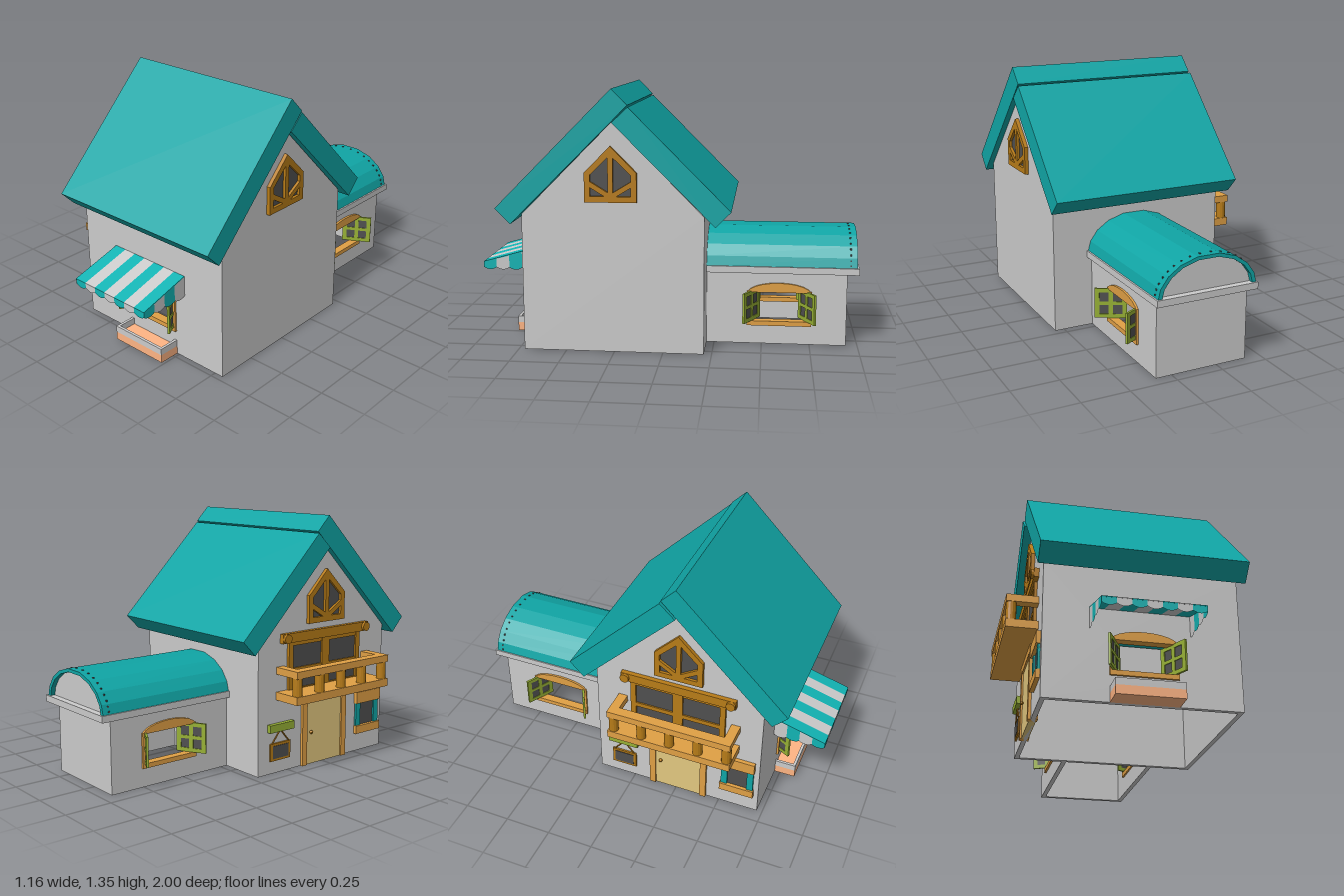
import * as THREE from 'three';

const paint = (color) => new THREE.MeshStandardMaterial({ color, side: THREE.DoubleSide, flatShading: true });
const grey = paint(0xcccccc), teal = paint(0x10a5a5), orange = paint(0xe0a045), brown = paint(0xb87c18);
const green = paint(0x97b035), dark = paint(0x505050), salmon = paint(0xffb584), cream = paint(0xe3c880);
const awningTeal = paint(0x12b4b4);

function add(parent, name, geometry, material, x = 0, y = 0, z = 0) {
  const mesh = new THREE.Mesh(geometry, material);
  mesh.name = name;
  mesh.position.set(x, y, z);
  parent.add(mesh);
  return mesh;
}

// Box given by its limits
function block(parent, name, material, x0, x1, y0, y1, z0, z1) {
  return add(parent, name, new THREE.BoxGeometry(x1 - x0, y1 - y0, z1 - z0), material,
    (x0 + x1) / 2, (y0 + y1) / 2, (z0 + z1) / 2);
}

function group(parent, name, x = 0, y = 0, z = 0, turn = 0) {
  const g = new THREE.Group();
  g.name = name;
  g.position.set(x, y, z);
  g.rotation.y = turn;
  parent.add(g);
  return g;
}

const polygon = (points) => new THREE.Shape(points.map((p) => new THREE.Vector2(...p)));
const slab = (shape, depth) => new THREE.ExtrudeGeometry(shape, { depth, bevelEnabled: false, curveSegments: 10 });
const rect = (x0, x1, y0, y1) => [[x0, y0], [x1, y0], [x1, y1], [x0, y1]];

// Wall panel whose outer face lies on local z = 0
function wall(parent, name, points, hole) {
  const shape = polygon(points);
  if (hole) shape.holes.push(polygon(hole));
  return add(parent, name, slab(shape, 0.025), grey, 0, 0, -0.025);
}

const LEFT = Math.PI / 2, RIGHT = -Math.PI / 2; // outward to +x, outward to -x

// Open window with arched head and two shutters turned on their middles
function shutteredWindow(parent, name, x, y, z, turn) {
  const g = group(parent, name, x, y, z, turn);
  block(g, 'sill', orange, -0.168, 0.168, -0.025, 0, -0.035, 0.012);
  const arch = new THREE.Shape();
  arch.moveTo(-0.168, 0.155);
  arch.lineTo(0.168, 0.155);
  arch.bezierCurveTo(0.13, 0.222, -0.13, 0.222, -0.168, 0.155);
  add(g, 'archedHead', slab(arch, 0.047), orange, 0, 0, -0.035);
  for (const s of [-1, 1]) {
    add(g, 'jamb', new THREE.BoxGeometry(0.014, 0.16, 0.045), orange, s * 0.161, 0.08, -0.012);
    const shutter = group(g, 'shutter', s * 0.145, 0.08, 0, -s * 1.08);
    const frame = polygon(rect(-0.084, 0.084, -0.08, 0.08));
    for (const px of [-0.035, 0.035]) for (const py of [-0.034, 0.034]) {
      frame.holes.push(polygon(rect(px - 0.024, px + 0.024, py - 0.025, py + 0.025)));
    }
    add(shutter, 'shutterFrame', slab(frame, 0.012), green, 0, 0, -0.006);
    add(shutter, 'shutterPanes', new THREE.BoxGeometry(0.15, 0.14, 0.004), dark);
  }
}

// Pointed attic window with a mullion and two struts
function atticWindow(parent, x, turn) {
  const g = group(parent, 'atticWindow', x, 0.78, 0.26, turn);
  const frame = polygon([[-0.132, 0], [0.132, 0], [0.132, 0.15], [0, 0.283], [-0.132, 0.15]]);
  for (const s of [-1, 1]) {
    frame.holes.push(polygon([[0.013, 0.05], [0.103, 0.105], [0.103, 0.138], [0.013, 0.226]].map(([a, b]) => [a * s, b])));
    frame.holes.push(polygon([[0.03, 0.03], [0.103, 0.03], [0.103, 0.075]].map(([a, b]) => [a * s, b])));
  }
  add(g, 'atticFrame', slab(frame, 0.04), brown, 0, 0, -0.02);
  add(g, 'atticGlass', slab(polygon([[-0.12, 0.01], [0.12, 0.01], [0.12, 0.145], [0, 0.265], [-0.12, 0.145]]), 0.015), dark, 0, 0, -0.01);
}

function mainHouse(root) {
  const g = group(root, 'mainHouse');
  const gable = [[-0.465, 0], [0.465, 0], [0.465, 0.71], [0, 1.18], [-0.465, 0.71]];
  wall(group(g, 'leftGable', 0.55, 0, 0.255, LEFT), 'leftGableWall', gable);
  wall(group(g, 'rightGable', -0.425, 0, 0.255, RIGHT), 'rightGableWall', gable);
  wall(group(g, 'front', 0, 0, 0.72), 'frontWall', rect(-0.425, 0.55, 0, 0.71), rect(-0.1, 0.235, 0.15, 0.325));
  wall(group(g, 'back', 0, 0, -0.21, Math.PI), 'backWall', rect(-0.55, 0.425, 0, 0.71));
  shutteredWindow(g, 'frontWindow', 0.067, 0.16, 0.72, 0);
  atticWindow(g, 0.55, LEFT);
  atticWindow(g, -0.425, RIGHT);

  // Two thick roof planes, the front one lapping the back one at the ridge
  const roof = group(g, 'roof', 0, 0, 0, RIGHT);
  add(roof, 'frontRoof', slab(polygon([[0.85, 0.743], [0.25, 1.347], [0.17, 1.266], [0.772, 0.663]]), 1.04), teal, 0, 0, -0.58);
  add(roof, 'backRoof', slab(polygon([[-0.345, 0.743], [0.168, 1.257], [0.25, 1.18], [-0.268, 0.663]]), 1.05), teal, 0, 0, -0.58);
}

// Striped cloth strip with a rounded lower edge
function scallop(width, topA, topB, bottom) {
  const s = new THREE.Shape();
  s.moveTo(0, topA);
  s.lineTo(0, bottom + 0.012);
  s.quadraticCurveTo(width / 2, bottom - 0.012, width, bottom + 0.012);
  s.lineTo(width, topB);
  return new THREE.ShapeGeometry(s, 8);
}

function awning(root) {
  const g = group(root, 'awning');
  const w = 0.071, x0 = -0.198;
  for (let i = 0; i < 7; i++) {
    const cloth = i % 2 ? grey : awningTeal;
    const strip = add(g, 'awningStripe', new THREE.BoxGeometry(w, 0.005, 0.291), cloth, x0 + w * (i + 0.5), 0.438, 0.86);
    strip.rotation.x = Math.atan2(0.08, 0.28);
    add(g, 'awningValance', scallop(w, 0.4, 0.4, 0.358), cloth, x0 + w * i, 0, 0.998);
  }
  for (const x of [x0, x0 + 7 * w]) {
    const side = group(g, 'awningSide', x, 0, 0.72, RIGHT);
    for (let i = 0; i < 4; i++) {
      add(side, 'sideValance', scallop(0.07, 0.477 - i * 0.02, 0.457 - i * 0.02, 0.358), i % 2 ? awningTeal : grey, i * 0.07);
    }
  }
}

function planter(root) {
  const g = group(root, 'planter');
  block(g, 'planterBase', salmon, -0.1, 0.235, 0, 0.045, 0.72, 0.835);
  block(g, 'planterFront', grey, -0.1, 0.235, 0.045, 0.08, 0.82, 0.835);
  for (const x of [-0.1, 0.22]) block(g, 'planterEnd', grey, x, x + 0.015, 0.045, 0.08, 0.72, 0.82);
}

function annex(root) {
  const g = group(root, 'annex');
  const hole = rect(-0.168, 0.168, 0.115, 0.285);
  const sideWall = [[-0.34, 0], [0.39, 0], [0.39, 0.39], [-0.34, 0.39]];
  const mirrored = sideWall.map(([x, y]) => [-x, y]).reverse();
  wall(group(g, 'annexLeft', 0.335, 0, -0.6, LEFT), 'annexLeftWall', mirrored, hole.map(([x, y]) => [x - 0.01, y]));
  wall(group(g, 'annexRight', -0.165, 0, -0.6, RIGHT), 'annexRightWall', sideWall, hole.map(([x, y]) => [x + 0.01, y]));
  wall(group(g, 'annexBack', 0.085, 0, -0.94, Math.PI), 'annexBackWall', rect(-0.25, 0.25, 0, 0.39));
  shutteredWindow(g, 'annexLeftWindow', 0.335, 0.125, -0.59, LEFT);
  shutteredWindow(g, 'annexRightWindow', -0.165, 0.125, -0.59, RIGHT);
  block(g, 'cornice', grey, -0.19, 0.362, 0.385, 0.42, -1, -0.21);

  // Faceted barrel roof with a recessed end panel and nails
  const half = [[0.268, 0], [0.255, 0.05], [0.215, 0.105], [0.15, 0.15], [0.06, 0.178]];
  const outer = [...half, ...half.map(([x, y]) => [-x, y]).reverse()];
  const inner = outer.map(([x, y]) => [x * 0.92, y * 0.9]);
  const roof = group(g, 'barrelRoof', 0.085, 0.42, -0.99);
  add(roof, 'barrelShell', slab(polygon([...outer, ...inner.slice().reverse()]), 0.78), teal);
  add(roof, 'barrelEnd', slab(polygon(inner), 0.02), grey, 0, 0, 0.025);
  for (let i = 0; i + 1 < outer.length; i++) for (const t of [0.25, 0.75]) {
    const [a, b] = [outer[i], outer[i + 1]];
    add(roof, 'nail', new THREE.BoxGeometry(0.008, 0.008, 0.008), dark,
      a[0] + (b[0] - a[0]) * t, a[1] + (b[1] - a[1]) * t, 0.035);
  }
}

// Everything on the entrance side; local x runs along world z, local z points outward
function entranceSide(root) {
  const g = group(root, 'entranceSide', -0.425, 0, 0, RIGHT);

  const door = group(g, 'frontDoor');
  block(door, 'doorPanel', cream, 0.13, 0.39, 0, 0.36, -0.03, 0.006);
  for (const x of [0.095, 0.39]) block(door, 'doorPost', orange, x, x + 0.035, 0, 0.395, -0.035, 0.015);
  block(door, 'doorLintel', orange, 0.095, 0.425, 0.355, 0.395, -0.035, 0.015);
  add(door, 'doorKnob', new THREE.SphereGeometry(0.01, 10, 8), brown, 0.16, 0.18, 0.014);

  const win = group(g, 'smallWindow');
  block(win, 'windowGlass', dark, 0.51, 0.69, 0.14, 0.29, -0.03, 0.003);
  block(win, 'windowSill', orange, 0.505, 0.695, 0.105, 0.15, -0.035, 0.022);
  block(win, 'windowHead', orange, 0.505, 0.695, 0.28, 0.345, -0.035, 0.022);
  for (const x of [0.51, 0.655]) block(win, 'windowSide', teal, x, x + 0.035, 0.15, 0.28, -0.03, 0.012);

  // Hanging board below a green bracket
  const sign = group(g, 'hangingBoard', -0.06, 0, 0);
  block(sign, 'bracket', green, -0.085, 0.085, 0.23, 0.272, 0, 0.025);
  block(sign, 'boardFrame', brown, -0.07, 0.07, 0.07, 0.165, 0, 0.01);
  block(sign, 'boardFace', dark, -0.055, 0.055, 0.083, 0.152, 0.005, 0.013);
  for (const s of [-1, 1]) {
    add(sign, 'cord', new THREE.CylinderGeometry(0.004, 0.004, 0.09, 6), brown, s * 0.03, 0.2, 0.008).rotation.z = s * 0.7;
  }

  // Glazed double door behind the balcony
  const bd = group(g, 'balconyDoors');
  block(bd, 'balconyGlass', dark, 0.01, 0.5, 0.44, 0.7, -0.03, 0.006);
  for (const x of [-0.01, 0.23, 0.255, 0.49]) block(bd, 'balconyDoorStile', brown, x, x + 0.03, 0.42, 0.7, -0.03, 0.016);
  for (const y of [0.42, 0.53, 0.675]) block(bd, 'balconyDoorRail', brown, 0, 0.51, y, y + 0.025, -0.03, 0.014);
  block(bd, 'balconyLintel', brown, -0.06, 0.575, 0.695, 0.745, -0.02, 0.025);
  for (const x of [-0.035, 0.55]) {
    add(bd, 'lintelBoss', new THREE.CylinderGeometry(0.025, 0.025, 0.04, 12), brown, x, 0.72, 0.02).rotation.x = Math.PI / 2;
  }

  // Balcony floor, rail and turned posts
  const b = group(g, 'balcony');
  block(b, 'balconyFloor', orange, -0.085, 0.6, 0.397, 0.44, 0, 0.16);
  block(b, 'frontRail', orange, -0.085, 0.6, 0.535, 0.573, 0.105, 0.16);
  for (const x of [-0.085, 0.55]) block(b, 'endRail', orange, x, x + 0.05, 0.535, 0.573, 0, 0.105);
  for (let i = 0; i < 5; i++) {
    add(b, 'baluster', new THREE.CylinderGeometry(0.026, 0.026, 0.1, 14), brown, -0.058 + i * 0.158, 0.487, 0.132);
  }
}

export function createModel() {
  const root = new THREE.Group();
  root.name = 'house';
  mainHouse(root);
  awning(root);
  planter(root);
  annex(root);
  entranceSide(root);
  return root;
}
